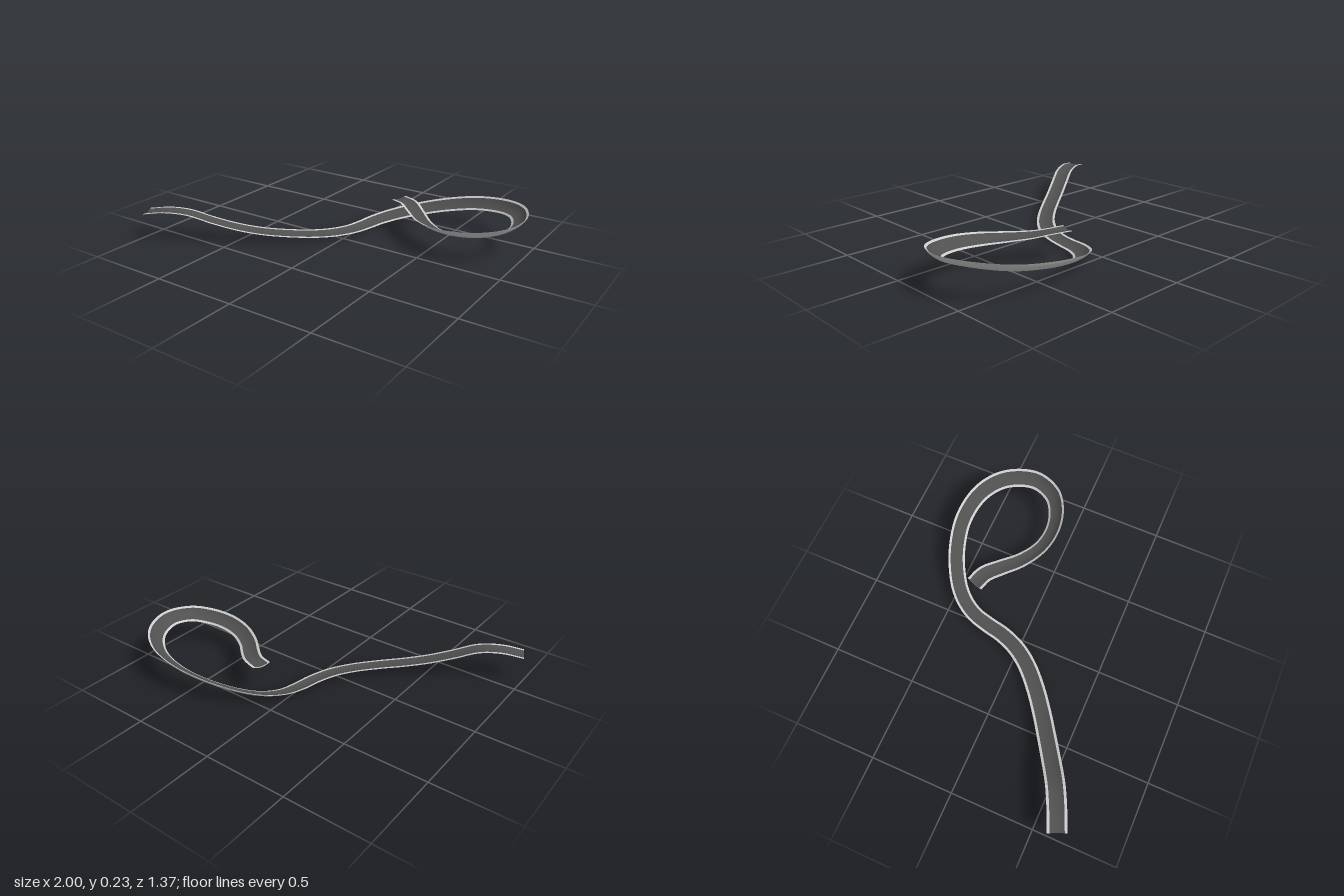
import * as THREE from 'three';

// Centre line of the run: x, y, z and bank angle in degrees (positive lifts the left edge)
const PATH = [
  [-0.978, 0.173, 0.632, 0], [-0.86, 0.189, 0.58, 0], [-0.74, 0.179, 0.52, 0], [-0.62, 0.133, 0.447, 1],
  [-0.5, 0.093, 0.37, 2], [-0.38, 0.066, 0.29, 3], [-0.26, 0.05, 0.2, 4], [-0.15, 0.038, 0.1, 5],
  [-0.07, 0.03, -0.005, 6], [-0.02, 0.024, -0.12, 7], [0.005, 0.022, -0.23, 9], [0.036, 0.029, -0.34, 14],
  [0.1, 0.046, -0.44, 20], [0.2, 0.072, -0.523, 26], [0.36, 0.112, -0.601, 31], [0.55, 0.152, -0.641, 34],
  [0.74, 0.182, -0.611, 35], [0.88, 0.203, -0.505, 35], [0.949, 0.205, -0.34, 35], [0.911, 0.193, -0.2, 35],
  [0.81, 0.176, -0.125, 34], [0.68, 0.163, -0.1, 31], [0.55, 0.154, -0.125, 24], [0.43, 0.153, -0.195, 14],
  [0.33, 0.164, -0.285, 6], [0.245, 0.181, -0.353, 0], [0.158, 0.184, -0.383, 0],
];
const STEPS = 260, ARC = 14;
const HALF = 0.056, INNER = 0.041, DEPTH = 0.007, THICK = 0.014;

const line = new THREE.CatmullRomCurve3(PATH.map(([x, y, z]) => new THREE.Vector3(x, y, z)), false, 'catmullrom', 0.5);
const bank = new THREE.CatmullRomCurve3(PATH.map((p) => new THREE.Vector3(p[3], 0, 0)), false, 'catmullrom', 0.5);

// Place a cross-section (u to the right, v up) on the banked path
function place(profile, t) {
  const centre = line.getPoint(t), along = line.getTangent(t);
  const right = new THREE.Vector3().crossVectors(along, new THREE.Vector3(0, 1, 0)).normalize();
  right.applyAxisAngle(along, THREE.MathUtils.degToRad(bank.getPoint(t).x));
  const up = new THREE.Vector3().crossVectors(right, along);
  return profile.map(([u, v]) => centre.clone().addScaledVector(right, u).addScaledVector(up, v));
}

// Surface through rows of points
function skin(rows) {
  const n = rows[0].length, index = [];
  for (let i = 0; i < rows.length - 1; i++) {
    for (let j = 0; j < n - 1; j++) {
      const a = i * n + j, b = a + 1, c = a + n, d = c + 1;
      index.push(a, c, b, b, c, d);
    }
  }
  const geometry = new THREE.BufferGeometry().setFromPoints(rows.flat());
  geometry.setIndex(index);
  geometry.computeVertexNormals();
  return geometry;
}

// Shallow hollow from left to right
function hollow(half, depth) {
  return Array.from({ length: ARC + 1 }, (_, i) => {
    const s = (i / ARC) * 2 - 1;
    return [half * s, -depth * (1 - s * s)];
  });
}

export function createModel() {
  const group = new THREE.Group();
  group.name = 'slideTrack';
  const grey = new THREE.MeshStandardMaterial({ color: 0xcccccc, side: THREE.DoubleSide });
  const dark = new THREE.MeshStandardMaterial({ color: 0x505050, side: THREE.DoubleSide });
  const add = (name, rows, material) => {
    const mesh = new THREE.Mesh(skin(rows), material);
    mesh.name = name;
    group.add(mesh);
  };
  const sweep = (name, profile, material) =>
    add(name, Array.from({ length: STEPS + 1 }, (_, i) => place(profile, i / STEPS)), material);

  const bed = hollow(INNER, DEPTH), shell = hollow(HALF, THICK);

  // Dark running channel, light rims and rounded underside
  sweep('channel', [...bed].reverse(), dark);
  sweep('rightRim', [[HALF, 0], [INNER, 0]], grey);
  sweep('leftRim', [[-INNER, 0], [-HALF, 0]], grey);
  sweep('underside', shell, grey);

  // End faces between the channel and the underside
  add('startCap', [place(bed, 0), place(shell, 0)], grey);
  add('endCap', [place(shell, 1), place(bed, 1)], grey);
  return group;
}
